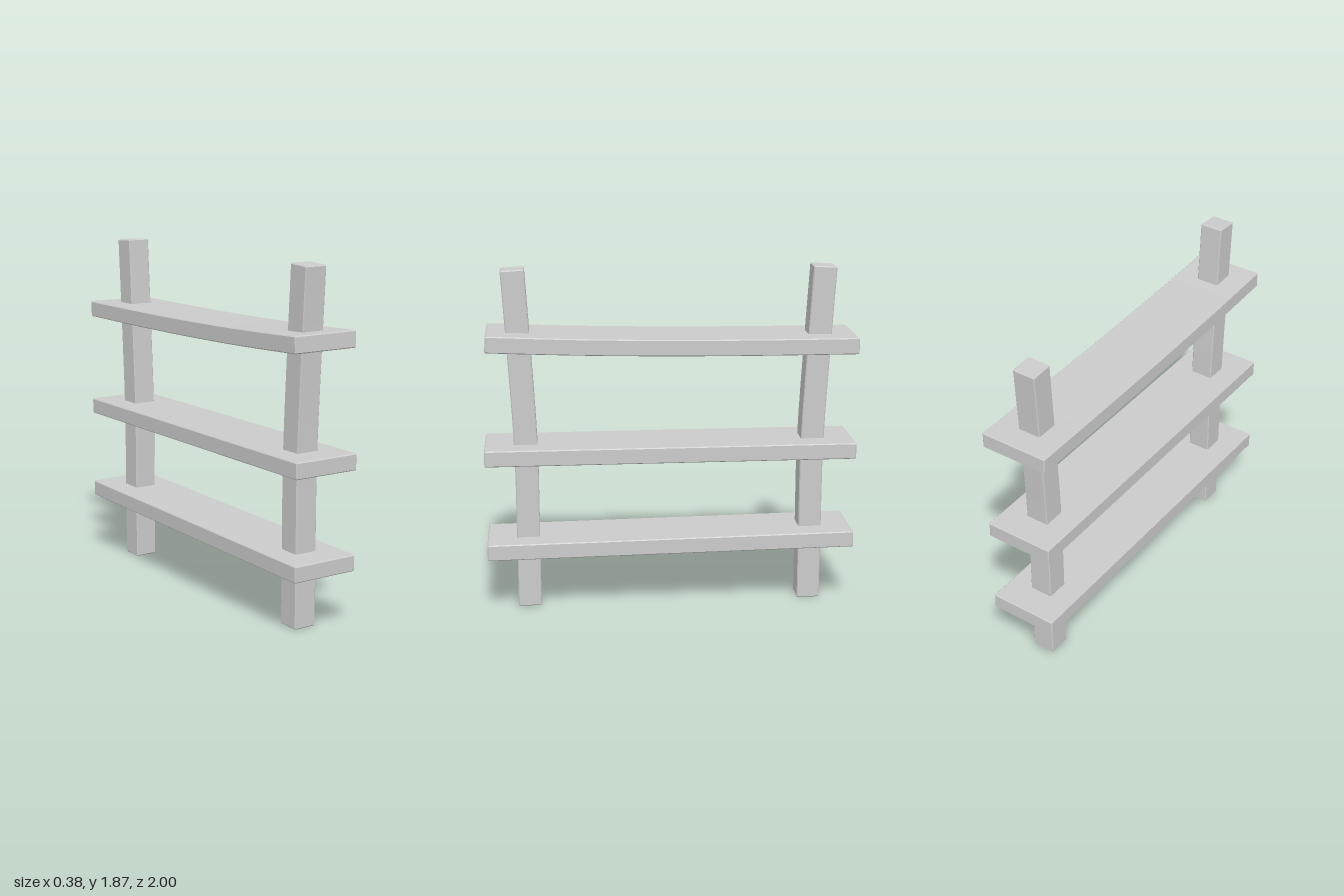
import * as THREE from 'three';

const material = new THREE.MeshStandardMaterial({ color: 0xcccccc, flatShading: true });
const BEVEL = 0.005;

// Beam that follows a centreline of [z, y] points, with lightly chamfered edges
function beam(name, points, thickness, width, segments) {
  const curve = new THREE.SplineCurve(points.map(([z, y]) => new THREE.Vector2(z, y)));
  const sideA = [], sideB = [];
  for (let i = 0; i <= segments; i++) {
    const t = i / segments;
    const centre = curve.getPoint(t);
    const along = curve.getTangent(t);
    const across = new THREE.Vector2(-along.y, along.x);
    const rim = (inset, half) => {
      const p = centre.clone().addScaledVector(along, inset);
      sideA.push(p.clone().addScaledVector(across, half));
      sideB.push(p.clone().addScaledVector(across, -half));
    };
    // Two rims at each end cut off the corners
    if (i === 0) rim(0, thickness / 2 - BEVEL);
    rim(i === 0 ? BEVEL : i === segments ? -BEVEL : 0, thickness / 2);
    if (i === segments) rim(0, thickness / 2 - BEVEL);
  }
  const shape = new THREE.Shape([...sideB, ...sideA.reverse()]);
  const geometry = new THREE.ExtrudeGeometry(shape, {
    depth: width - 2 * BEVEL,
    bevelEnabled: true,
    bevelSize: BEVEL,
    bevelThickness: BEVEL,
    bevelOffset: -BEVEL,
    bevelSegments: 1,
  });
  geometry.translate(0, 0, BEVEL - width / 2);
  geometry.rotateY(-Math.PI / 2); // profile into the z-y plane
  const mesh = new THREE.Mesh(geometry, material);
  mesh.name = name;
  return mesh;
}

export function createModel() {
  const model = new THREE.Group();
  model.name = 'shelfRack';

  // Two posts that splay outwards at the top
  const postLine = [[0.777, 0], [0.777, 0.45], [0.779, 0.9], [0.803, 1.4], [0.83, 1.869]];
  for (const [name, side] of [['frontPost', 1], ['backPost', -1]]) {
    model.add(beam(name, postLine.map(([z, y]) => [z * side, y]), 0.126, 0.128, 12));
  }

  // Three boards: tilted, level and sagging
  model.add(beam('lowerShelf', [[-0.998, 0.38], [0.998, 0.355]], 0.087, 0.378, 1));
  model.add(beam('middleShelf', [[-1, 0.882], [1, 0.882]], 0.087, 0.378, 1));
  model.add(beam('upperShelf',
    [[-1, 1.46], [-0.5, 1.461], [0, 1.467], [0.5, 1.48], [0.979, 1.501]], 0.088, 0.378, 12));

  return model;
}
